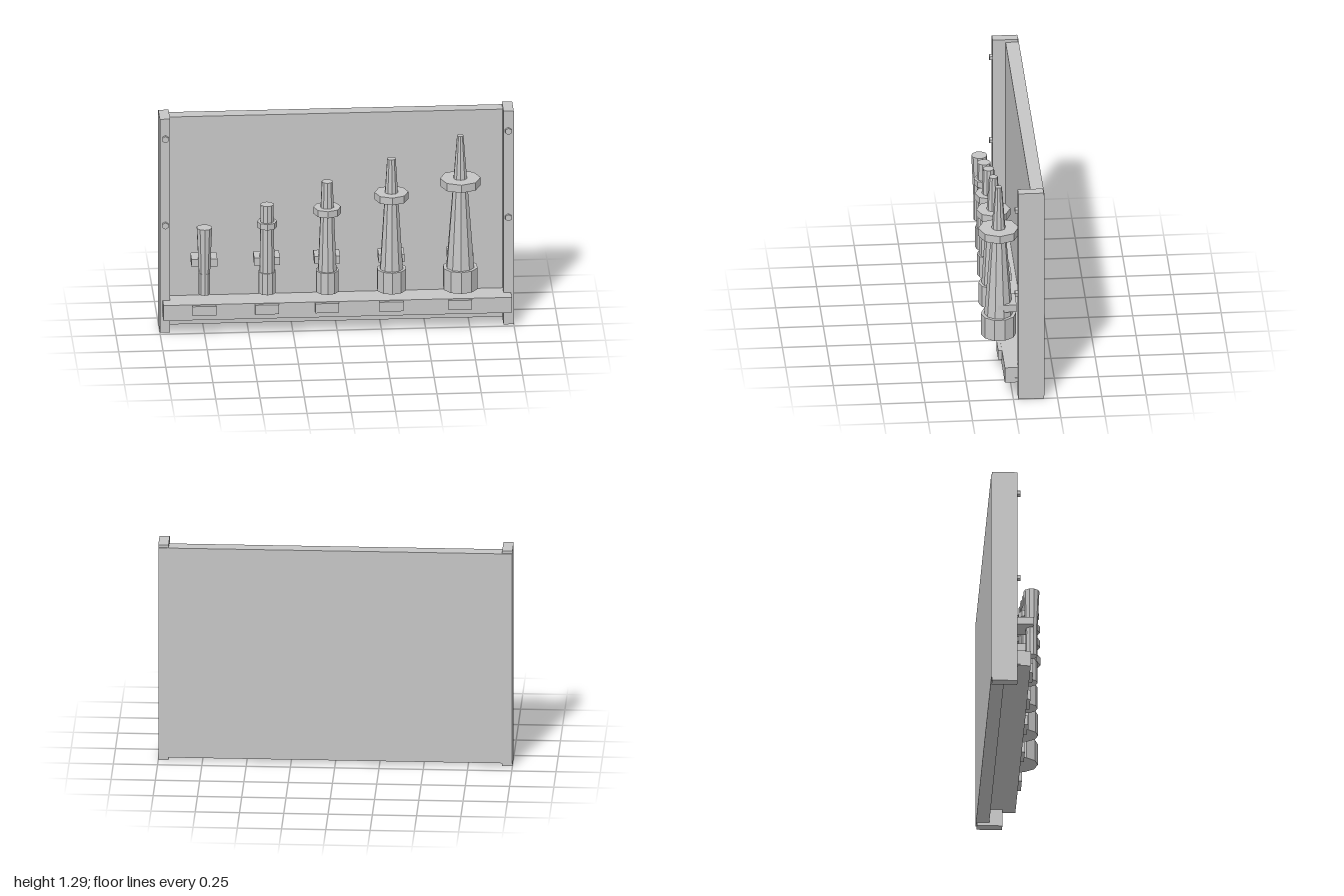
import * as THREE from 'three';

export function createModel() {
  const group = new THREE.Group();
  const grey = new THREE.MeshStandardMaterial({ color: 0xc6c6c6, flatShading: true });
  grey.name = 'grey';

  const add = (name, geometry, x, y, z, parent = group) => {
    const mesh = new THREE.Mesh(geometry, grey);
    mesh.name = name;
    mesh.position.set(x, y, z);
    parent.add(mesh);
    return mesh;
  };

  // box given by its low and high limits
  const box = (name, [x0, x1], [y0, y1], [z0, z1], parent) =>
    add(name, new THREE.BoxGeometry(x1 - x0, y1 - y0, z1 - z0),
      (x0 + x1) / 2, (y0 + y1) / 2, (z0 + z1) / 2, parent);

  // upright faceted cylinder or cone between two heights
  const column = (name, sides, rTop, rBottom, y0, y1, x, z, parent) =>
    add(name, new THREE.CylinderGeometry(rTop, rBottom, y1 - y0, sides), x, (y0 + y1) / 2, z, parent);

  // back panel and the shelf running through the posts
  box('backPanel', [-0.999, 0.999], [0.018, 1.278], [-0.177, -0.102]);
  box('shelf', [-0.984, 0.984], [0.1, 0.193], [-0.102, 0.047]);

  // side posts with hexagonal bolts
  for (const side of [-1, 1]) {
    const name = side > 0 ? 'left' : 'right';
    const post = box(name + 'Post', [-0.029, 0.029], [0, 1.295], [-0.172, -0.028]);
    post.position.x = side * 0.971;
    for (const y of [0.118, 0.652, 1.176]) {
      const bolt = add(name + 'Bolt', new THREE.CylinderGeometry(0.02, 0.02, 0.03, 6),
        side * 0.969, y, -0.026);
      bolt.rotation.x = Math.PI / 2;
    }
  }

  // row of hanging tapered tools: base, shaft, collar, bracket and label plate
  const tools = [
    { x: -0.754, base: 0.034, low: 0.033, tip: 0.045, top: 0.668 },
    { x: -0.4, base: 0.05, low: 0.044, tip: 0.038, top: 0.8, collar: 0.057, collarY: 0.68 },
    { x: -0.06, base: 0.066, low: 0.054, tip: 0.032, top: 0.93, collar: 0.078, collarY: 0.756 },
    { x: 0.303, base: 0.084, low: 0.067, tip: 0.025, top: 1.06, collar: 0.096, collarY: 0.835 },
    { x: 0.692, base: 0.1, low: 0.081, tip: 0.019, top: 1.19, collar: 0.115, collarY: 0.909 },
  ];
  const z = 0.061;
  tools.forEach((t, i) => {
    const tool = new THREE.Group();
    tool.name = 'tool' + (i + 1);
    tool.position.x = t.x;
    group.add(tool);
    column('toolBase', 10, t.base, t.base, 0.266, 0.395, 0, z, tool);
    column('toolShaft', 10, t.tip, t.low, 0.395, t.top, 0, z, tool);
    if (t.collar) {
      const half = 0.0125 + t.collar * 0.095;
      column('toolCollar', 8, t.collar, t.collar, t.collarY - half, t.collarY + half, 0, z, tool);
    }
    box('bracket', [-0.073, 0.073], [0.433, 0.477], [-0.036, 0.069], tool);
    box('labelPlate', [-0.067, 0.067], [0.133, 0.19], [0.04, 0.068], tool);
  });

  return group;
}
